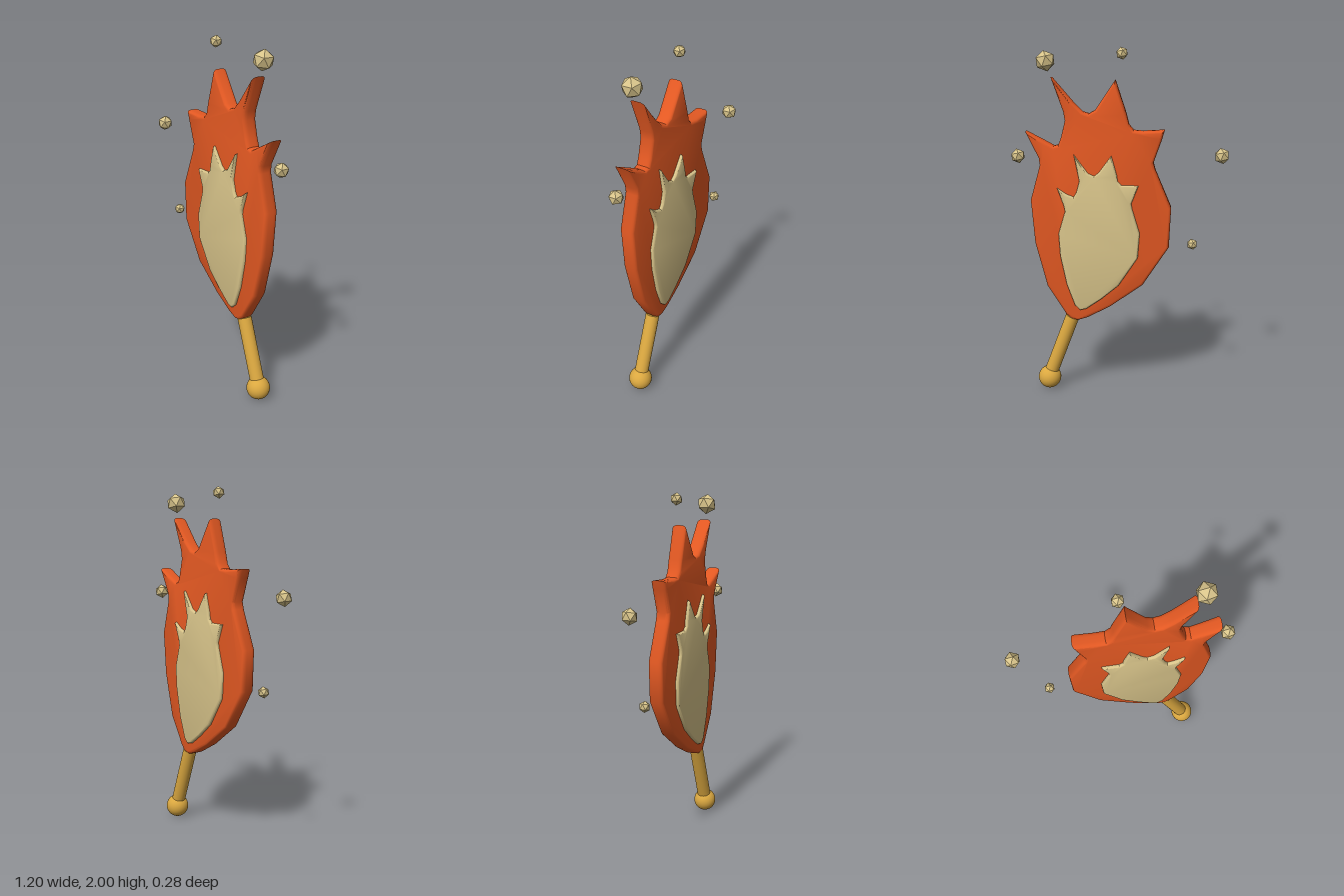
import * as THREE from 'three';
import { toCreasedNormals } from 'three/addons/utils/BufferGeometryUtils.js';

const YAW = 0.174; // the flat body is turned about the vertical axis
const TILT = 0.36; // the handle leans sideways

const flameOutline = [
  [0.02, 1.825], [-0.04, 1.64], [-0.055, 1.58], [-0.08, 1.55], [-0.13, 1.546], [-0.25, 1.552],
  [-0.235, 1.5], [-0.19, 1.37], [-0.2, 1.33], [-0.29, 1.115], [-0.28, 0.885], [-0.135, 0.66],
  [0.05, 0.525], [0.18, 0.455], [0.235, 0.437], [0.275, 0.445], [0.305, 0.475], [0.41, 0.645],
  [0.475, 0.9], [0.495, 1.15], [0.44, 1.35], [0.445, 1.39], [0.517, 1.54], [0.41, 1.485],
  [0.36, 1.458], [0.335, 1.465], [0.32, 1.505], [0.297, 1.6], [0.305, 1.65], [0.37, 1.838],
  [0.25, 1.7], [0.2, 1.65], [0.165, 1.64], [0.13, 1.66],
];
const coreOutline = [
  [0.04, 1.41], [0.01, 1.3], [0.005, 1.265], [-0.015, 1.245], [-0.11, 1.243], [-0.07, 1.14],
  [-0.075, 1.11], [-0.117, 0.97], [-0.107, 0.825], [0, 0.66], [0.1, 0.575], [0.185, 0.515],
  [0.22, 0.507], [0.25, 0.535], [0.295, 0.66], [0.33, 0.83], [0.338, 0.96], [0.3, 1.09],
  [0.305, 1.12], [0.342, 1.225], [0.29, 1.19], [0.25, 1.175], [0.235, 1.2], [0.218, 1.265],
  [0.247, 1.415], [0.17, 1.31], [0.135, 1.295], [0.11, 1.315],
];

// Flat outline with rounded rims, centred on its own plane
function slab(outline, thickness, bevelThickness, bevelSize) {
  const shape = new THREE.Shape(outline.map(([x, y]) => new THREE.Vector2(x / Math.cos(YAW), y)));
  const depth = thickness - 2 * bevelThickness;
  const geometry = new THREE.ExtrudeGeometry(shape, {
    depth, bevelThickness, bevelSize, bevelOffset: -bevelSize, bevelSegments: 4,
  });
  geometry.translate(0, 0, -depth / 2);
  return toCreasedNormals(geometry, 0.6);
}

export function createModel() {
  const orange = new THREE.MeshStandardMaterial({ name: 'flame orange', color: 0xe25822 });
  const cream = new THREE.MeshStandardMaterial({ name: 'pale sand', color: 0xd8c48a });
  const gold = new THREE.MeshStandardMaterial({ name: 'gold', color: 0xdba840 });

  const group = new THREE.Group();
  group.name = 'flameFan';
  group.rotation.y = -YAW;
  const add = (name, geometry, material, x = 0, y = 0) => {
    const mesh = new THREE.Mesh(geometry, material);
    mesh.name = name;
    mesh.position.set(x / Math.cos(YAW), y, 0);
    group.add(mesh);
    return mesh;
  };

  // Flame and the thicker inner flame showing on both faces
  add('flame', slab(flameOutline, 0.084, 0.026, 0.016), orange);
  add('innerFlame', slab(coreOutline, 0.118, 0.016, 0.01), cream);

  // Handle with a ball at its end
  const handle = add('handle', new THREE.CylinderGeometry(0.04, 0.04, 0.4, 24), gold, 0.34, 0.265);
  handle.rotation.z = TILT;
  add('handleBall', new THREE.SphereGeometry(0.067, 32, 20), gold, 0.41, 0.067);

  // Floating sparks
  const sparks = [
    [-0.563, 1.41, 0.045], [-0.41, 0.902, 0.032], [-0.015, 1.967, 0.035],
    [0.402, 1.925, 0.058], [0.565, 1.398, 0.042],
  ];
  for (const [x, y, r] of sparks) {
    add('spark', new THREE.IcosahedronGeometry(r, 0), cream, x, y).rotation.z = TILT;
  }

  const model = new THREE.Group();
  model.add(group);
  return model;
}
